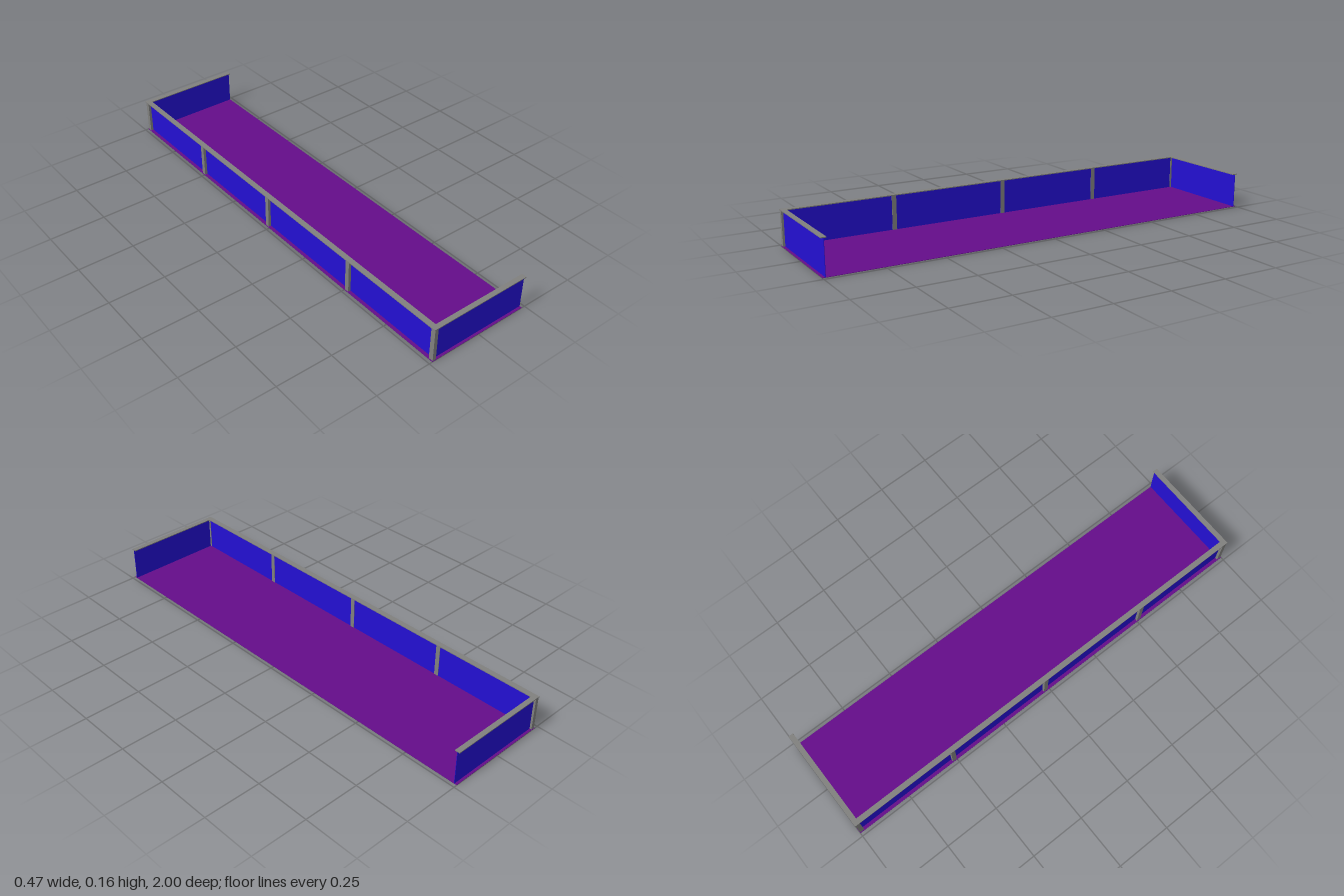
import * as THREE from 'three';

export function createModel() {
  const model = new THREE.Group();
  model.name = 'balcony';

  const material = (name, color) => {
    const m = new THREE.MeshStandardMaterial({ color });
    m.name = name;
    return m;
  };
  const purple = material('purple floor', 0x640d8a);
  const blue = material('blue panel', 0x230fd2);
  const grey = material('grey metal', 0x80807e);

  // Box given by its minimum and maximum corners
  const box = (name, mat, [x0, y0, z0], [x1, y1, z1]) => {
    const mesh = new THREE.Mesh(new THREE.BoxGeometry(x1 - x0, y1 - y0, z1 - z0), mat);
    mesh.position.set((x0 + x1) / 2, (y0 + y1) / 2, (z0 + z1) / 2);
    mesh.name = name;
    model.add(mesh);
  };

  const X = 0.235, top = 0.155, railBase = 0.151;
  const postOut = -0.232, postIn = -0.216;

  // Thin floor slab
  box('floor', purple, [-X, 0, -1], [X, 0.0015, 1]);

  // Posts along the long side, with a panel between each pair
  const postZ = [-0.988, -0.51, -0.018, 0.51, 0.988];
  const half = 0.01;
  postZ.forEach((z, i) => {
    box('post', grey, [postOut, 0.0015, z - half], [postIn, railBase, z + half]);
    if (i > 0) {
      box('sidePanel', blue, [-0.22, 0.0015, postZ[i - 1] + half], [-0.218, railBase, z - half]);
    }
  });

  // Long handrail, between the two end rails
  box('sideRail', grey, [-X, railBase, -0.977], [-0.211, top, 0.977]);

  // End panels and their handrails
  for (const s of [-1, 1]) {
    const z = s * 0.988;
    box('endPanel', blue, [postIn, 0.0015, z - 0.001], [X, railBase, z + 0.001]);
    box('endRail', grey, [-X, railBase, z - 0.011], [X, top, z + 0.011]);
  }

  return model;
}
